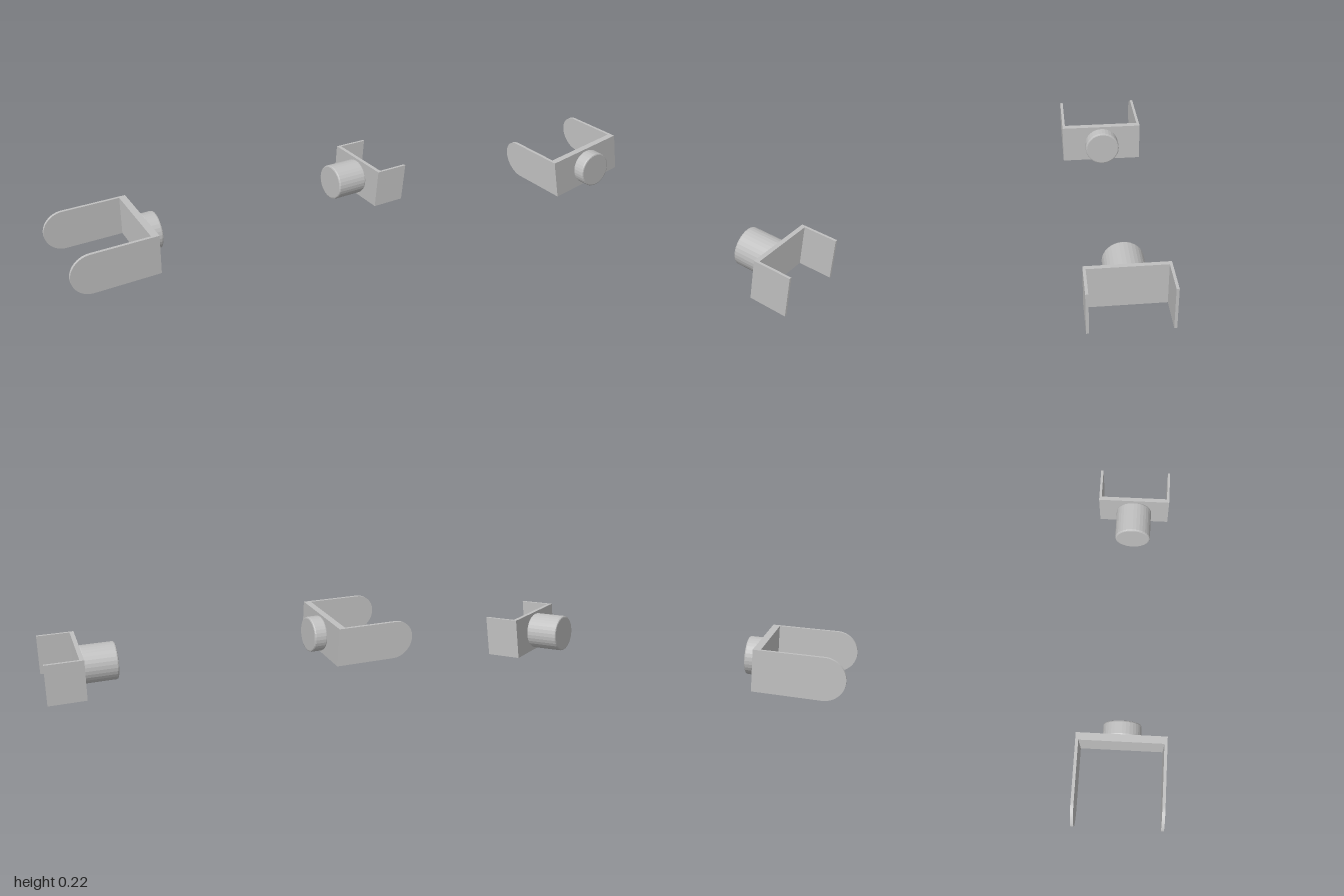
import * as THREE from 'three';

const H = 0.218, MID = H / 2;

export function createModel() {
  const model = new THREE.Group();
  model.name = 'bracketPair';
  const grey = new THREE.MeshStandardMaterial({ color: 0xc0c0c0, flatShading: true });
  grey.name = 'plain grey';

  const add = (parent, name, geometry, x, y, z) => {
    const mesh = new THREE.Mesh(geometry, grey);
    mesh.name = name;
    mesh.position.set(x, y, z);
    parent.add(mesh);
  };

  // Side plate in the XY plane, optionally with a semicircular left end
  const plate = (x0, x1, depth, rounded) => {
    const s = new THREE.Shape();
    s.moveTo(x1, 0);
    s.lineTo(x1, H);
    if (rounded) {
      s.lineTo(x0 + MID, H);
      s.absarc(x0 + MID, MID, MID, Math.PI / 2, Math.PI * 1.5, false);
    } else {
      s.lineTo(x0, H);
      s.lineTo(x0, 0);
    }
    s.closePath();
    return new THREE.ExtrudeGeometry(s, { depth, bevelEnabled: false, curveSegments: 24 });
  };

  // Boss along x with softened rims at both ends
  const boss = (length) => {
    const r = 0.1, b = 0.008, k = b * 0.3;
    const profile = [
      [0, 0], [r - b, 0], [r - k, k], [r, b],
      [r, length - b], [r - k, length - k], [r - b, length], [0, length],
    ].map(([px, py]) => new THREE.Vector2(px, py));
    return new THREE.LatheGeometry(profile, 32).rotateZ(-Math.PI / 2);
  };

  // U-shaped bracket: two arms joined by a web, plus the boss
  const bracket = (o) => {
    const g = new THREE.Group();
    g.name = o.name;
    const arm = plate(o.x0, o.x1, o.arm, o.rounded);
    add(g, 'frontArm', arm, 0, 0, o.half - o.arm);
    add(g, 'backArm', arm, 0, 0, -o.half);
    const web = new THREE.BoxGeometry(o.web, H, 2 * (o.half - o.arm));
    add(g, 'web', web, o.webX, MID, 0);
    add(g, 'boss', boss(o.bossLength), o.bossX, MID, 0);
    model.add(g);
  };

  bracket({
    name: 'roundedBracket', x0: -1, x1: -0.545, half: 0.233, arm: 0.0155, rounded: true,
    web: 0.038, webX: -0.564, bossX: -0.545, bossLength: 0.076,
  });
  bracket({
    name: 'squareBracket', x0: 0.806, x1: 1, half: 0.2, arm: 0.0135, rounded: false,
    web: 0.022, webX: 0.817, bossX: 0.622, bossLength: 0.184,
  });
  return model;
}
